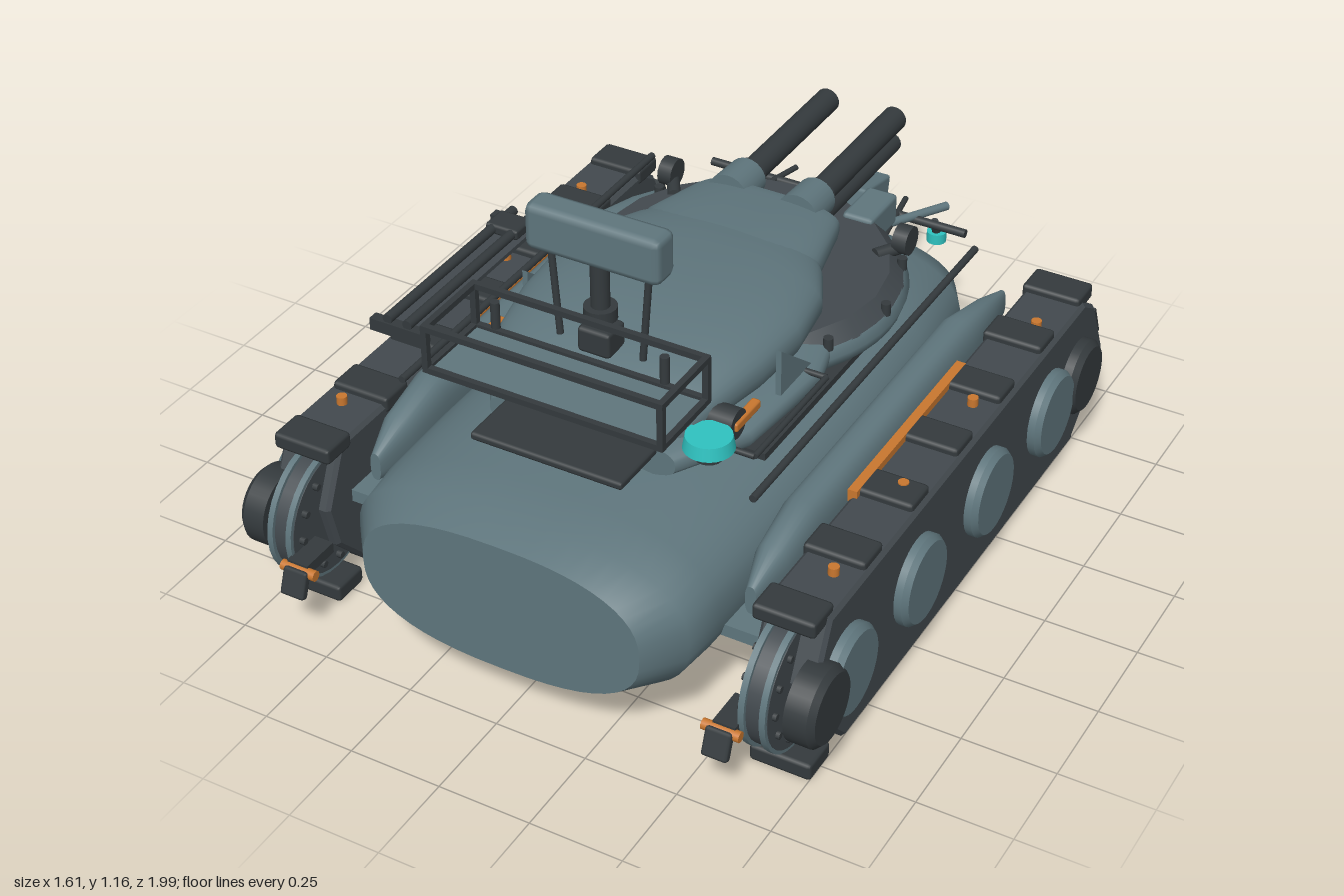
import * as THREE from 'three';
import { RoundedBoxGeometry } from 'three/addons/geometries/RoundedBoxGeometry.js';

const material = (name, color, side = THREE.FrontSide) => {
  const m = new THREE.MeshStandardMaterial({ color, side });
  m.name = name;
  return m;
};

// Smooth body through rounded sections [z, centreY, halfWidth, halfHeight], listed back to front
function loft(sections, power = 2.5, n = 48) {
  const pos = [], index = [];
  const ring = ([z, cy, w, h]) => {
    for (let j = 0; j < n; j++) {
      const c = Math.cos(j / n * Math.PI * 2), s = Math.sin(j / n * Math.PI * 2);
      pos.push(w * Math.sign(c) * Math.abs(c) ** (2 / power), cy + h * Math.sign(s) * Math.abs(s) ** (2 / power), z);
    }
  };
  sections.forEach(ring);
  for (let i = 0; i < sections.length - 1; i++) for (let j = 0; j < n; j++) {
    const a = i * n + j, b = i * n + (j + 1) % n;
    index.push(a, b, a + n, b, b + n, a + n);
  }
  [sections[0], sections[sections.length - 1]].forEach((s, front) => {
    const base = pos.length / 3;
    ring(s);
    pos.push(0, s[1], s[0]);
    for (let j = 0; j < n; j++) {
      const a = base + j, b = base + (j + 1) % n;
      index.push(base + n, front ? a : b, front ? b : a);
    }
  });
  const g = new THREE.BufferGeometry();
  g.setAttribute('position', new THREE.Float32BufferAttribute(pos, 3));
  g.setIndex(index);
  g.computeVertexNormals();
  return g;
}

export function createModel() {
  const model = new THREE.Group();
  model.name = 'trackedVehicle';
  const hull = material('armour grey blue', 0x5f767d);
  const plate = material('dark plate', 0x42494e);
  const dark = material('dark metal', 0x343a3d);
  const orange = material('orange', 0xc9772f);
  const teal = material('teal glass', 0x2fc2c0);

  const add = (name, geo, mat, x = 0, y = 0, z = 0, parent = model) => {
    const m = new THREE.Mesh(geo, mat);
    m.name = name;
    m.position.set(x, y, z);
    parent.add(m);
    return m;
  };
  const box = (name, mat, w, h, d, x, y, z, parent) => add(name, new THREE.BoxGeometry(w, h, d), mat, x, y, z, parent);
  const soft = (name, mat, w, h, d, x, y, z, r = 0.012, parent) =>
    add(name, new RoundedBoxGeometry(w, h, d, 1, r), mat, x, y, z, parent);
  // Cylinder between two points
  const rod = (name, mat, a, b, r, parent, r2 = r, n = 16) => {
    const p = new THREE.Vector3(...a), q = new THREE.Vector3(...b), d = q.clone().sub(p);
    const m = add(name, new THREE.CylinderGeometry(r2, r, d.length(), n), mat, 0, 0, 0, parent);
    m.position.copy(p).add(q).multiplyScalar(0.5);
    m.quaternion.setFromUnitVectors(new THREE.Vector3(0, 1, 0), d.normalize());
    return m;
  };

  // Hull
  add('hull', loft([
    [-0.95, 0.26, 0.07, 0.05], [-0.92, 0.27, 0.2, 0.09], [-0.83, 0.3, 0.35, 0.14], [-0.68, 0.335, 0.43, 0.19],
    [-0.4, 0.35, 0.465, 0.215], [0, 0.35, 0.483, 0.22], [0.5, 0.35, 0.483, 0.22], [0.75, 0.35, 0.475, 0.218],
    [0.87, 0.347, 0.462, 0.21], [0.968, 0.345, 0.385, 0.185]], 2.5), hull);

  // Track unit, built on +x and mirrored by sign
  const outline = [[0.74, 0.455], [-0.73, 0.455], [-0.8, 0.41], [-0.88, 0.24], [-0.86, 0.18], [-0.7, 0.04],
    [0.65, 0.04], [0.78, 0.18], [0.81, 0.3]];
  const trackShape = new THREE.Shape(outline.map(([z, y]) => new THREE.Vector2(-z, y)));
  for (const s of [1, -1]) {
    const t = new THREE.Group();
    t.name = s > 0 ? 'leftTrack' : 'rightTrack';
    model.add(t);
    const body = new THREE.ExtrudeGeometry(trackShape, { depth: 0.15, bevelEnabled: true, bevelThickness: 0.01, bevelSize: 0.01, bevelSegments: 1 });
    body.rotateY(Math.PI / 2);
    add('trackBody', body, plate, s > 0 ? 0.605 : -0.755, 0, 0, t);
    for (let i = 0; i < 7; i++) {
      const z = 0.76 - i * 0.253;
      soft('topTreadBlock', dark, 0.165, 0.045, 0.1, s * 0.672, 0.462, z, 0.01, t);
      soft('bottomTreadBlock', dark, 0.165, 0.048, 0.105, s * 0.672, 0.032, i === 6 ? -0.695 : z, 0.01, t);
    }
    const bar = box('rearTreadBlock', dark, 0.165, 0.1, 0.03, s * 0.672, 0.33, -0.85, t);
    bar.rotation.x = 0.4;
    // Wheels
    for (const z of [0.67, 0.29, -0.11, -0.5]) {
      rod('roadWheel', hull, [s * 0.75, 0.26, z], [s * 0.785, 0.26, z], 0.12, t, 0.12, 32);
      rod('roadWheelRim', hull, [s * 0.785, 0.26, z], [s * 0.8, 0.26, z], 0.12, t, 0.108, 32);
    }
    for (const z of [0.81, -0.695]) {
      rod('endWheel', dark, [s * 0.73, 0.26, z], [s * 0.79, 0.26, z], 0.105, t, 0.105, 32);
      rod('endWheelRim', dark, [s * 0.79, 0.26, z], [s * 0.806, 0.26, z], 0.105, t, 0.09, 32);
    }
    rod('idlerWheel', plate, [s * 0.625, 0.26, 0.76], [s * 0.7, 0.26, 0.76], 0.17, t, 0.17, 32);
    for (const x of [0.635, 0.69])
      rod('idlerRim', hull, [s * (x - 0.008), 0.26, 0.76], [s * (x + 0.008), 0.26, 0.76], 0.18, t, 0.18, 32);
    for (let i = 0; i < 12; i++) {
      const a = i / 12 * Math.PI * 2;
      rod('idlerBolt', dark, [s * 0.61, 0.26 + 0.14 * Math.sin(a), 0.76 + 0.14 * Math.cos(a)],
        [s * 0.71, 0.26 + 0.14 * Math.sin(a), 0.76 + 0.14 * Math.cos(a)], 0.01, t, 0.01, 6);
    }
    // Orange markers on the track
    box('trackStripe', orange, 0.025, 0.035, 0.62, s * 0.602, 0.468, 0.01, t);
    for (const z of [-0.565, -0.17, 0.23, 0.6]) rod('trackStud', orange, [s * 0.695, 0.45, z], [s * 0.695, 0.488, z], 0.014, t);
    // Tow hooks at both ends
    for (const e of [1, -1]) {
      rod('hookPin', orange, [s * 0.545, 0.215, e * 0.955], [s * 0.645, 0.215, e * 0.955], 0.014, t);
      box('hookArm', dark, 0.06, 0.03, 0.11, s * 0.6, 0.22, e * 0.9, t);
      const hook = soft('hookTip', dark, 0.07, 0.075, 0.025, s * 0.595, 0.19, e * 0.975, 0.008, t);
      hook.rotation.x = -e * 0.35;
    }
    // Sponson and its support plate
    add('sponson', loft([[-0.72, 0.4, 0.012, 0.04], [-0.6, 0.41, 0.035, 0.07], [-0.42, 0.425, 0.055, 0.097],
      [0.45, 0.425, 0.055, 0.097], [0.6, 0.41, 0.045, 0.075], [0.7, 0.39, 0.015, 0.04]], 2.6, 28), hull, s * 0.53, 0, 0, t);
    box('sponsonPlate', hull, 0.16, 0.035, 1.46, s * 0.53, 0.29, -0.01, t);
    // Rails beside the turret
    rod('sideRail', dark, [s * 0.49, 0.62, -0.61], [s * 0.49, 0.62, 0.62], 0.01, t);
  }

  // Turret ring and base
  const turret = new THREE.Group();
  turret.name = 'turret';
  model.add(turret);
  const ringProfile = [[0, 0.53], [0.37, 0.53], [0.43, 0.57], [0.44, 0.6], [0.425, 0.625]].map(p => new THREE.Vector2(...p));
  add('turretRing', new THREE.LatheGeometry(ringProfile, 48), hull, 0, 0, -0.22, turret);
  add('ringTop', new THREE.CylinderGeometry(0.39, 0.428, 0.04, 20), plate, 0, 0.643, -0.22, turret);
  box('deckPlate', dark, 0.78, 0.02, 0.7, 0, 0.54, 0.02, turret);
  add('turretBase', loft([[-0.3, 0.6, 0.3, 0.05], [0.1, 0.605, 0.4, 0.055], [0.4, 0.605, 0.37, 0.055], [0.58, 0.6, 0.26, 0.05]], 3), hull, 0, 0, 0, turret);
  for (let i = 0; i < 12; i++) {
    const a = i / 12 * Math.PI * 2;
    rod('ringBolt', dark, [0.42 * Math.cos(a), 0.62, -0.22 + 0.42 * Math.sin(a)], [0.42 * Math.cos(a), 0.655, -0.22 + 0.42 * Math.sin(a)], 0.013, turret);
  }
  // Turret shell and gun mantlet
  add('turretShell', loft([[-0.21, 0.725, 0.23, 0.06], [-0.14, 0.725, 0.28, 0.08], [-0.03, 0.725, 0.335, 0.092], [0.13, 0.725, 0.358, 0.105],
    [0.3, 0.722, 0.345, 0.105], [0.45, 0.715, 0.315, 0.09], [0.535, 0.7, 0.285, 0.075]], 2.5), hull, 0, 0, 0, turret);
  add('mantlet', loft([[-0.38, 0.725, 0.205, 0.052], [-0.35, 0.725, 0.215, 0.06], [-0.17, 0.728, 0.255, 0.078], [0, 0.728, 0.25, 0.08]], 2.8), hull, 0, 0, 0, turret);

  // Guns
  for (const x of [-0.105, 0.1]) {
    rod('gunSleeve', hull, [x, 0.752, -0.34], [x, 0.752, -0.45], 0.06, turret, 0.055, 24);
    rod('gunCollar', dark, [x, 0.752, -0.43], [x, 0.752, -0.47], 0.045, turret, 0.045, 24);
    rod('gunBarrel', dark, [x, 0.752, -0.4], [x, 0.752, -0.915], 0.035, turret, 0.035, 24);
  }
  rod('lowerBarrel', dark, [0.1, 0.685, -0.4], [0.1, 0.685, -0.9], 0.03, turret);
  soft('ammunitionBox', hull, 0.09, 0.09, 0.16, 0.185, 0.63, -0.6, 0.012, turret);
  const wedge = soft('muzzleSupport', hull, 0.09, 0.07, 0.16, 0.1, 0.62, -0.73, 0.01, turret);
  wedge.rotation.x = -0.2;

  // Turret side fittings
  const finShape = new THREE.Shape([[-0.25, 0.64], [-0.09, 0.64], [-0.25, 0.77]].map(p => new THREE.Vector2(...p)));
  for (const s of [1, -1]) {
    const fin = new THREE.ExtrudeGeometry(finShape, { depth: 0.015, bevelEnabled: false });
    fin.rotateY(Math.PI / 2);
    add('sideFin', fin, hull, s * 0.36 - 0.0075, 0, 0, turret);
    rod('frontHub', dark, [s * 0.29, 0.688, 0.46], [s * 0.365, 0.688, 0.46], 0.04, turret);
    rod('rearHub', dark, [s * 0.33, 0.685, -0.47], [s * 0.37, 0.685, -0.47], 0.04, turret);
    rod('rearHubArm', dark, [s * 0.35, 0.66, -0.48], [s * 0.3, 0.66, -0.4], 0.018, turret);
    soft('sideMarker', orange, 0.025, 0.025, 0.12, s * 0.36, 0.688, 0.42, 0.006, turret);
    rod('frontLampBase', dark, [s * 0.335, 0.64, 0.55], [s * 0.335, 0.672, 0.55], 0.035, turret);
    rod('frontLamp', teal, [s * 0.335, 0.67, 0.55], [s * 0.335, 0.705, 0.55], 0.064, turret, 0.058, 24);
    // Rear lamps and braces
    rod('rearLamp', teal, [s * 0.29, 0.475, -0.81], [s * 0.29, 0.505, -0.81], 0.027);
    rod('rearLampStem', dark, [s * 0.29, 0.5, -0.81], [s * 0.29, 0.545, -0.79], 0.012);
    rod('rearBrace', hull, [s * 0.15, 0.57, -0.6], [s * 0.285, 0.545, -0.88], 0.012);
    rod('rearBrace', dark, [s * 0.22, 0.56, -0.6], [s * 0.17, 0.545, -0.86], 0.008);
  }
  rod('rearCrossRail', dark, [-0.39, 0.545, -0.775], [0.39, 0.545, -0.775], 0.012);
  soft('frontMarker', orange, 0.2, 0.03, 0.06, 0, 0.685, 0.57, 0.01, turret);
  soft('frontLip', dark, 0.42, 0.022, 0.2, 0, 0.63, 0.645, 0.008, turret);

  // Grab frame on the left deck
  for (const z of [0.12, 0.49]) rod('grabFrame', dark, [0.36, 0.635, z], [0.425, 0.635, z], 0.008);
  rod('grabFrame', dark, [0.425, 0.635, 0.12], [0.425, 0.635, 0.49], 0.008);

  // Basket with floor
  const basket = new THREE.Group();
  basket.name = 'basket';
  model.add(basket);
  box('basketFloor', hull, 0.64, 0.008, 0.22, 0, 0.785, 0.64, basket);
  const bx = 0.32, zs = [0.535, 0.747];
  for (const y of [0.79, 0.907]) {
    for (const z of zs) box('basketRail', dark, 0.655, 0.016, 0.016, 0, y, z, basket);
    for (const x of [-bx, bx]) box('basketRail', dark, 0.016, 0.016, 0.22, x, y, 0.641, basket);
  }
  for (const x of [-bx, bx]) for (const z of zs) box('basketPost', dark, 0.016, 0.125, 0.016, x, 0.848, z, basket);
  for (const x of [-0.265, 0.205]) rod('basketPeg', dark, [x, 0.77, 0.53], [x, 0.872, 0.53], 0.012, basket);

  // Mast and sensor head
  const mast = new THREE.Group();
  mast.name = 'sensorMast';
  model.add(mast);
  rod('mastPole', dark, [0, 0.78, 0.477], [0, 1.05, 0.477], 0.024, mast);
  rod('mastCollar', dark, [0, 0.885, 0.477], [0, 0.918, 0.477], 0.042, mast);
  soft('mastFoot', dark, 0.09, 0.07, 0.08, 0, 0.83, 0.477, 0.01, mast);
  for (const s of [1, -1]) rod('mastStrut', dark, [s * 0.115, 0.8, 0.477], [s * 0.135, 1.05, 0.477], 0.009, mast);
  soft('sensorHead', hull, 0.368, 0.125, 0.085, 0, 1.105, 0.477, 0.02, mast);
  box('sensorBezel', dark, 0.31, 0.085, 0.008, 0, 1.105, 0.433, mast);
  for (const x of [-0.075, 0.075]) box('sensorScreen', teal, 0.125, 0.055, 0.008, x, 1.105, 0.428, mast);

  // Tool rack above the right track
  const rack = new THREE.Group();
  rack.name = 'toolRack';
  model.add(rack);
  for (const z of [-0.18, 0.39]) box('rackBar', dark, 0.165, 0.035, 0.03, -0.655, 0.577, z, rack);
  for (const x of [-0.685, -0.625]) rod('rackTool', dark, [x, 0.605, -0.2], [x, 0.605, 0.4], 0.014, rack);
  box('rackTray', plate, 0.1, 0.012, 0.55, -0.655, 0.575, 0.1, rack);
  soft('toolHead', dark, 0.1, 0.03, 0.08, -0.655, 0.605, -0.13, 0.008, rack);
  return model;
}
